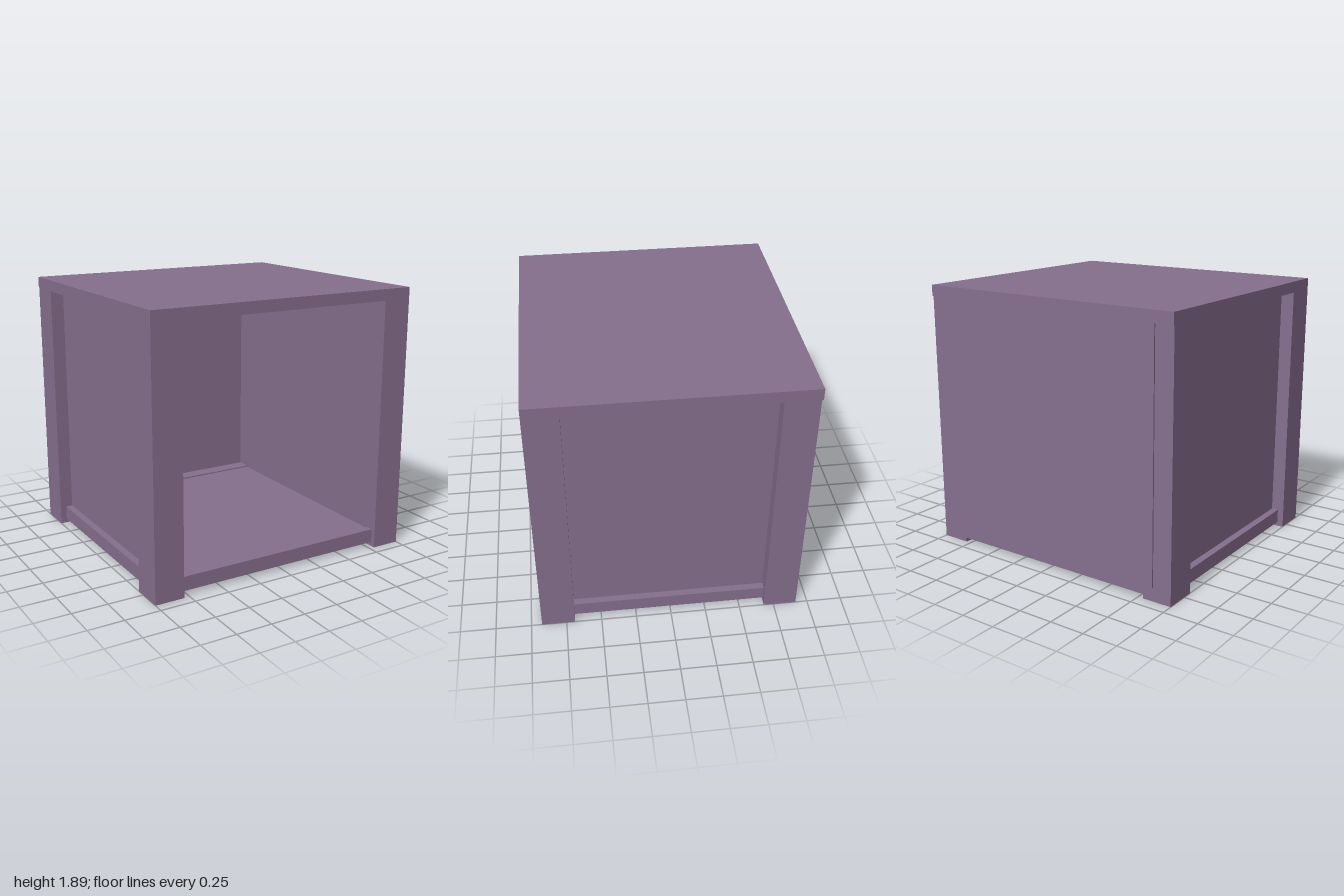
import * as THREE from 'three';

export function createModel() {
  const group = new THREE.Group();
  const mauve = new THREE.MeshStandardMaterial({ color: 0x866f8e });
  mauve.name = 'mauve paint';
  const grey = new THREE.MeshStandardMaterial({ color: 0x747474 });
  grey.name = 'grey underside';

  // Box given by its minimum and maximum on each axis
  function box(name, [x0, x1], [y0, y1], [z0, z1], material = mauve) {
    const mesh = new THREE.Mesh(new THREE.BoxGeometry(x1 - x0, y1 - y0, z1 - z0), material);
    mesh.position.set((x0 + x1) / 2, (y0 + y1) / 2, (z0 + z1) / 2);
    mesh.name = name;
    group.add(mesh);
  }

  const inner = 0.79;   // inside face of legs and side panels
  const under = 1.81;   // underside of the top

  box('top', [-1, 1], [under, 1.89], [-0.925, 0.925]);

  // Legs, side panels and side rails, mirrored
  for (const s of [1, -1]) {
    const side = s > 0 ? 'left' : 'right';
    const span = (a, b) => (s > 0 ? [a, b] : [-b, -a]);
    box(side + 'FrontLeg', span(inner, 1), [0, under], [0.69, 0.925]);
    box(side + 'BackLeg', span(inner, 1), [0, under], [-0.915, -0.68]);
    box(side + 'SidePanel', span(inner, 0.905), [0.06, under], [-0.68, 0.69]);
    box(side + 'SideRail', span(0.89, 0.955), [0.03, 0.13], [-0.68, 0.69]);
  }

  // Front and back rails
  box('frontRail', [-inner, inner], [0.03, 0.13], [0.84, 0.89]);
  box('backRail', [-inner, inner], [0.03, 0.13], [-0.915, -0.8]);

  // Thin back panel, standing slightly proud of the legs
  box('backPanel', [-0.865, 0.865], [0.1, under], [-0.925, -0.91]);

  // Floor board with its bare underside
  box('floor', [-inner, inner], [0.06, 0.12], [-0.8, 0.84]);
  box('floorUnderside', [-inner, inner], [0.052, 0.06], [-0.8, 0.84], grey);

  return group;
}
